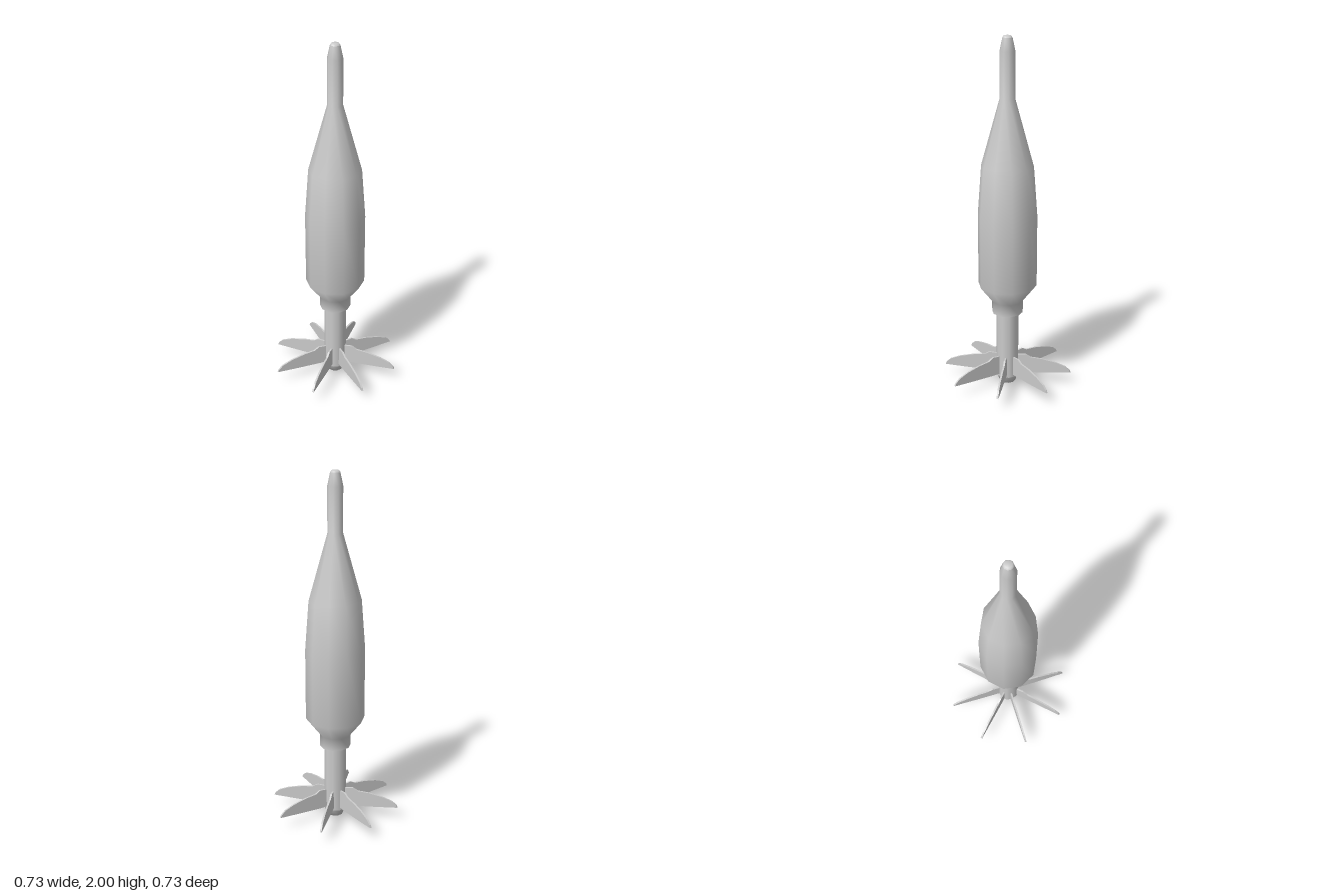
import * as THREE from 'three';

const material = new THREE.MeshStandardMaterial({ color: 0xcccccc });

// Ten-sided turned part; profile runs upwards as [radius, height]
function turned(name, profile) {
  const points = profile.map(([r, y]) => new THREE.Vector2(r, y));
  const mesh = new THREE.Mesh(new THREE.LatheGeometry(points, 10), material);
  mesh.name = name;
  return mesh;
}

export function createModel() {
  const model = new THREE.Group();
  model.name = 'finnedShell';

  // Main body with tapered nose and slim fuse
  model.add(turned('body', [
    [0.088, 0.44], [0.088, 0.51], [0.166, 0.61], [0.166, 1.02],
    [0.145, 1.3], [0.042, 1.67], [0.042, 1.92], [0.027, 1.99],
  ]));
  model.add(turned('noseCap', [[0.027, 1.99], [0.02, 2], [0, 2]]));
  model.add(turned('bodyBase', [[0, 0.44], [0.088, 0.44]]));

  // Tail boom with rounded end
  model.add(turned('tailBoom', [[0.063, 0.045], [0.063, 0.45]]));
  model.add(turned('boomEnd', [[0, 0], [0.045, 0.003], [0.063, 0.045]]));

  // Eight thin swept fins around the boom
  const outline = new THREE.Shape([
    [0.03, 0.06], [0.1, 0.06], [0.24, 0.068], [0.367, 0.077],
    [0.36, 0.092], [0.335, 0.114], [0.28, 0.135], [0.2, 0.152],
    [0.135, 0.158], [0.105, 0.175], [0.075, 0.172], [0.03, 0.168],
  ].map(([x, y]) => new THREE.Vector2(x, y)));
  const thickness = 0.01;
  const finGeometry = new THREE.ExtrudeGeometry(outline, { depth: thickness, bevelEnabled: false });
  finGeometry.translate(0, 0, -thickness / 2);
  const fins = new THREE.Group();
  fins.name = 'tailFins';
  for (let i = 0; i < 8; i++) {
    const fin = new THREE.Mesh(finGeometry, material);
    fin.name = 'fin';
    fin.rotation.y = (i * Math.PI) / 4;
    fins.add(fin);
  }
  model.add(fins);
  return model;
}
